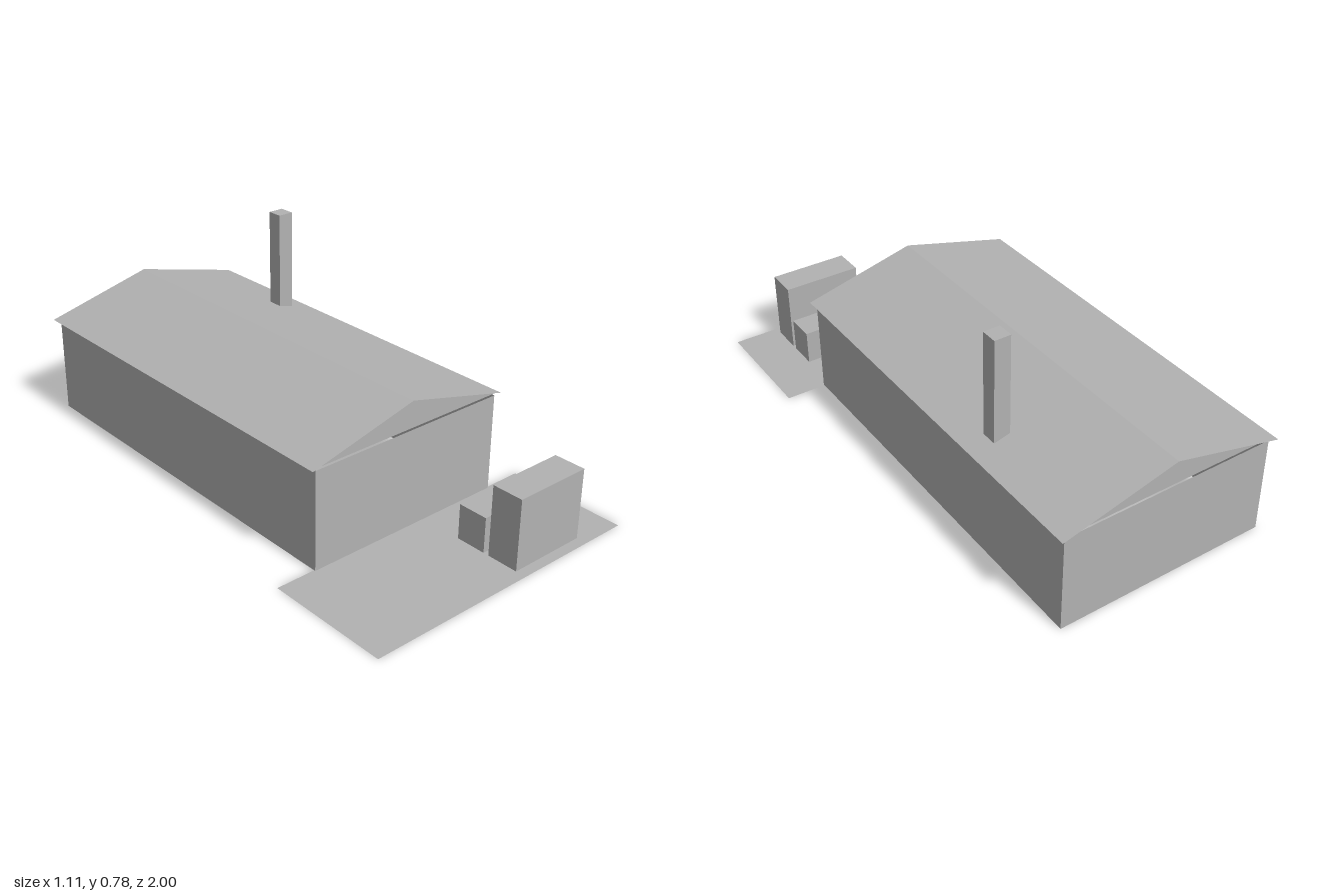
import * as THREE from 'three';

// One plain grey for everything; the shell is open and thin, so both sides show.
const plainGrey = new THREE.MeshStandardMaterial({ color: 0xb2b2b2, side: THREE.DoubleSide });
plainGrey.name = 'plainGrey';

function addMesh(parent, name, geometry) {
  const mesh = new THREE.Mesh(geometry, plainGrey);
  mesh.name = name;
  parent.add(mesh);
  return mesh;
}

// Flat convex sheet through its corners, counter-clockwise from outside
function sheet(...corners) {
  const points = [];
  for (let i = 1; i < corners.length - 1; i++) points.push(...corners[0], ...corners[i], ...corners[i + 1]);
  const geometry = new THREE.BufferGeometry();
  geometry.setAttribute('position', new THREE.Float32BufferAttribute(points, 3));
  geometry.computeVertexNormals();
  return geometry;
}

// Box given by its limits on each axis
function block(x0, x1, y0, y1, z0, z1) {
  return new THREE.BoxGeometry(x1 - x0, y1 - y0, z1 - z0)
    .translate((x0 + x1) / 2, (y0 + y1) / 2, (z0 + z1) / 2);
}

export function createModel() {
  const model = new THREE.Group();
  model.name = 'house';

  const wallX = 0.405, wallTop = 0.367, front = 0.545, back = -0.98;
  const eaveX = 0.426, eaveY = 0.375, ridgeY = 0.482, roofFront = 0.556, roofBack = -1;

  // Four thin walls, open above and below
  const walls = new THREE.Group();
  walls.name = 'walls';
  model.add(walls);
  const plan = [[-wallX, front], [wallX, front], [wallX, back], [-wallX, back]];
  ['frontWall', 'leftWall', 'backWall', 'rightWall'].forEach((name, i) => {
    const [ax, az] = plan[i], [bx, bz] = plan[(i + 1) % 4];
    addMesh(walls, name, sheet([ax, 0, az], [bx, 0, bz], [bx, wallTop, bz], [ax, wallTop, az]));
  });

  // Two roof slopes meeting at the ridge
  const roof = new THREE.Group();
  roof.name = 'roof';
  model.add(roof);
  addMesh(roof, 'leftSlope', sheet([0, ridgeY, roofFront], [eaveX, eaveY, roofFront],
    [eaveX, eaveY, roofBack], [0, ridgeY, roofBack]));
  addMesh(roof, 'rightSlope', sheet([-eaveX, eaveY, roofFront], [0, ridgeY, roofFront],
    [0, ridgeY, roofBack], [-eaveX, eaveY, roofBack]));

  // Gable triangles, slightly above the wall tops
  addMesh(roof, 'frontGable', sheet([-eaveX, eaveY, front], [eaveX, eaveY, front], [0, ridgeY, front]));
  addMesh(roof, 'backGable', sheet([eaveX, eaveY, back], [-eaveX, eaveY, back], [0, ridgeY, back]));

  // Chimney passing through the left slope
  addMesh(model, 'chimney', block(0.284, 0.345, 0.367, 0.782, -0.533, -0.473));

  // Patio slab with a tall and a low block standing on it
  addMesh(model, 'patio', sheet([-0.557, 0, 1], [0.557, 0, 1], [0.557, 0, 0.54], [-0.557, 0, 0.54]));
  addMesh(model, 'tallCounter', block(0.08, 0.383, 0.003, 0.268, 0.844, 0.963));
  addMesh(model, 'lowBench', block(0.08, 0.383, 0.003, 0.135, 0.709, 0.823));

  return model;
}
